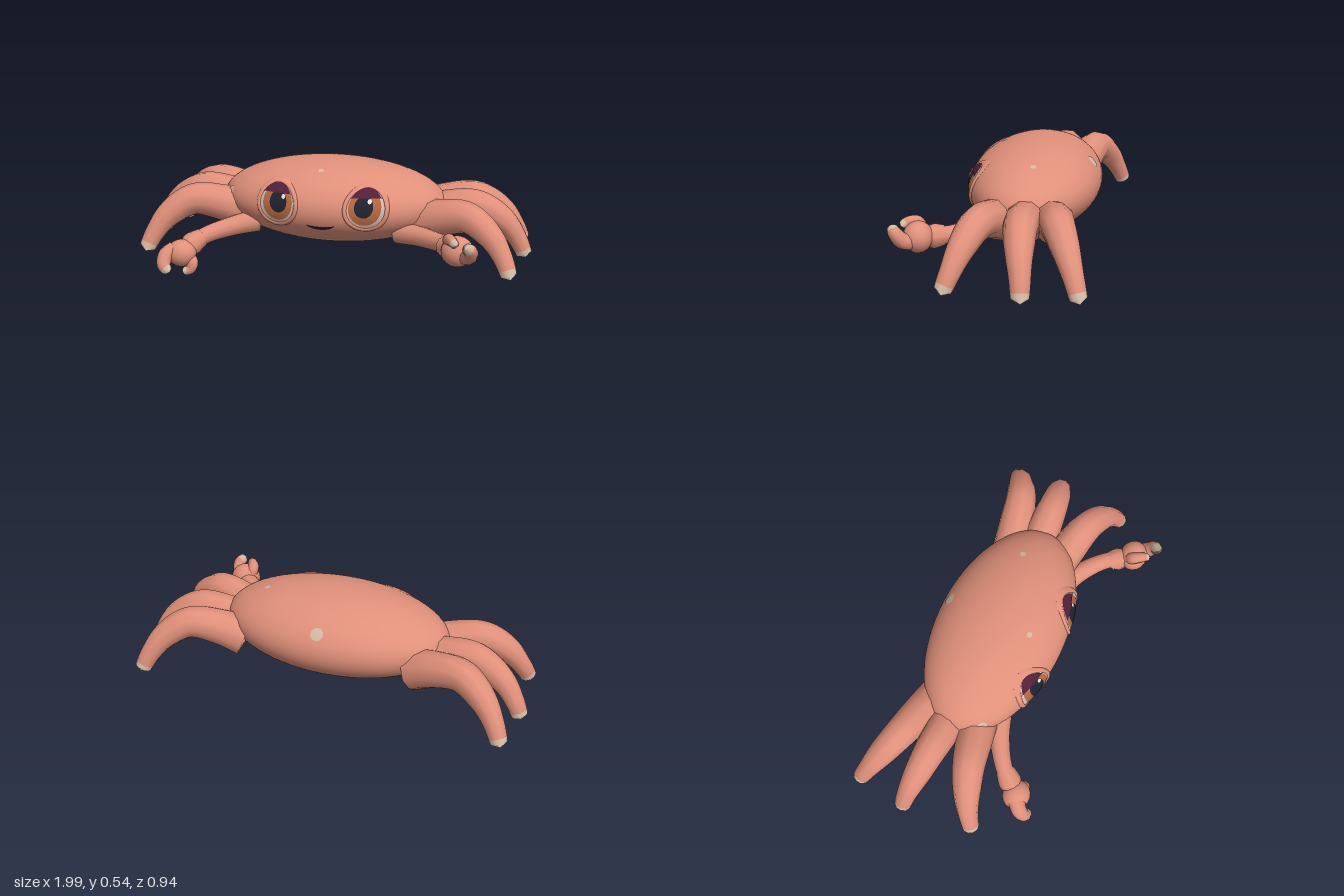
import * as THREE from 'three';

const V = (p) => new THREE.Vector3(...p);
const CENTER = V([0, 0.32, -0.088]);
const RADII = V([0.57, 0.21, 0.322]);

const mat = (name, color) => {
  const m = new THREE.MeshStandardMaterial({ color });
  m.name = name;
  return m;
};

function add(parent, name, geometry, material) {
  const mesh = new THREE.Mesh(geometry, material);
  mesh.name = name;
  parent.add(mesh);
  return mesh;
}

// Moves every vertex of a geometry by a rule
function warp(geometry, rule) {
  const pos = geometry.attributes.position;
  const v = new THREE.Vector3();
  for (let i = 0; i < pos.count; i++) {
    rule(v.fromBufferAttribute(pos, i), i);
    pos.setXYZ(i, v.x, v.y, v.z);
  }
  return geometry;
}

// Front surface of the shell, swollen by k
function frontZ(x, y, k) {
  const a = x / (RADII.x * k), b = (y - CENTER.y) / (RADII.y * k);
  return CENTER.z + RADII.z * k * Math.sqrt(Math.max(0, 1 - a * a - b * b));
}

// Lays a flat piece onto the front of the shell
function onFront(geometry, x, y, k) {
  warp(geometry, (v) => {
    v.x += x;
    v.y += y;
    v.z += frontZ(v.x, v.y, k);
  });
  geometry.computeVertexNormals();
  return geometry;
}

const disc = (rx, ry) => new THREE.RingGeometry(0, 1, 40, 8).scale(rx, ry, 1);

// Tapered limb with closed root and rounded tip; the last share may take a second material
function limb(points, radii, sides, rings, tipStart) {
  const curve = new THREE.CatmullRomCurve3(points.map(V));
  const geometry = new THREE.TubeGeometry(curve, rings, 1, sides);
  const center = new THREE.Vector3();
  const roundFrom = 1 - 0.8 * radii[radii.length - 1] / curve.getLength();
  warp(geometry, (v, i) => {
    const ring = Math.floor(i / (sides + 1));
    const u = ring / rings;
    const f = u * (radii.length - 1);
    const a = Math.min(Math.floor(f), radii.length - 2);
    let r = THREE.MathUtils.lerp(radii[a], radii[a + 1], f - a);
    if (ring === 0) r = 0;
    if (u > roundFrom) r *= Math.sqrt(Math.max(0, 1 - ((u - roundFrom) / (1 - roundFrom)) ** 2));
    curve.getPointAt(u, center);
    v.sub(center).multiplyScalar(r).add(center);
  });
  const split = Math.round(rings * tipStart) * sides * 6;
  geometry.addGroup(0, split, 0);
  geometry.addGroup(split, geometry.index.count - split, 1);
  return geometry;
}

export function createModel() {
  const model = new THREE.Group();
  model.name = 'crab';

  const coral = mat('coral', 0xe0907a);
  const cream = mat('cream', 0xd2baa4);
  const white = mat('eyeWhite', 0xd2bdb3);
  const brown = mat('irisBrown', 0xb5683f);
  const dark = mat('darkNavy', 0x20222e);
  const plum = mat('lidPlum', 0x541f3a);
  const shine = mat('shine', 0xf4eeee);
  const skin = [coral, cream];

  // Shell and belly share one ellipsoid
  const BELLY = 2.4;
  const place = (g) => g.scale(RADII.x, RADII.y, RADII.z).translate(CENTER.x, CENTER.y, CENTER.z);
  add(model, 'shell', place(new THREE.SphereGeometry(1, 72, 36, 0, Math.PI * 2, 0, BELLY)), coral);
  add(model, 'belly', place(new THREE.SphereGeometry(1, 72, 12, 0, Math.PI * 2, BELLY, Math.PI - BELLY)), cream);

  // Pale spots on the shell: direction on the ellipsoid, size
  const spots = [
    [[0, 0.5, -0.87], 0.032],
    [[0.61, 0.78, -0.13], 0.014],
    [[-0.05, 0.85, 0.52], 0.014],
    [[-0.88, 0.2, 0.43], 0.024],
  ];
  for (const [dir, size] of spots) {
    const n = V(dir).normalize();
    const holder = new THREE.Object3D();
    holder.position.copy(n).multiply(RADII);
    holder.lookAt(holder.position.clone().add(n.clone().divide(RADII)));
    holder.updateMatrix();
    const g = new THREE.RingGeometry(0, size, 16, 3).applyMatrix4(holder.matrix);
    warp(g, (v) => v.divide(RADII).normalize().multiplyScalar(1.008).multiply(RADII).add(CENTER));
    g.computeVertexNormals();
    add(model, 'spot', g, cream);
  }

  // Eyes
  for (const s of [-1, 1]) {
    const eye = new THREE.Group();
    eye.name = s > 0 ? 'leftEye' : 'rightEye';
    model.add(eye);
    const x = s * 0.222, y = 0.35;
    const rim = new THREE.TorusGeometry(0.1, 0.011, 10, 48).scale(1, 1.04, 1);
    add(eye, 'eyeRim', onFront(rim, x, y, 1), coral);
    add(eye, 'eyeWhite', onFront(disc(0.096, 0.1), x, y, 1.01), white);
    add(eye, 'iris', onFront(disc(0.078, 0.085), x - s * 0.004, y + 0.008, 1.016), brown);
    add(eye, 'pupil', onFront(disc(0.045, 0.052), x - s * 0.008, y + 0.014, 1.022), dark);
    const lid = warp(disc(0.084, 0.1), (v) => { v.y = Math.max(v.y, 0.055); });
    add(eye, 'eyelid', onFront(lid, x, y, 1.03), plum);
    add(eye, 'eyeShine', onFront(disc(0.01, 0.011), x - s * 0.008 + 0.027, y + 0.042, 1.034), shine);
  }

  // Smile
  const smile = new THREE.RingGeometry(0, 1, 24, 4, Math.PI, Math.PI).scale(0.07, 0.018, 1);
  warp(smile, (v) => { v.y += 1.6 * v.x * v.x; });
  add(model, 'mouth', onFront(smile, 0, 0.255, 1.01), dark);

  // Three walking legs on each side
  const legs = {
    frontLeg: [[0.42, 0.24, -0.01], [0.55, 0.285, 0.03], [0.7, 0.305, 0.07], [0.82, 0.23, 0.115], [0.885, 0.14, 0.15], [0.928, 0.045, 0.185]],
    middleLeg: [[0.42, 0.24, -0.12], [0.56, 0.29, -0.125], [0.72, 0.31, -0.135], [0.86, 0.23, -0.155], [0.925, 0.14, -0.17], [0.967, 0.045, -0.178]],
    backLeg: [[0.42, 0.24, -0.23], [0.55, 0.29, -0.265], [0.7, 0.31, -0.305], [0.82, 0.235, -0.36], [0.885, 0.145, -0.4], [0.93, 0.048, -0.435]],
  };
  for (const s of [-1, 1]) {
    for (const [name, points] of Object.entries(legs)) {
      const path = points.map(([x, y, z]) => [s * x, y, z]);
      add(model, (s > 0 ? 'left ' : 'right ') + name,
        limb(path, [0.105, 0.092, 0.082, 0.07, 0.052, 0.04], 10, 28, 0.925), skin);
    }
  }

  // Arms: one claw raised, one hanging
  const arms = [
    {
      name: 'leftArm',
      arm: [[0.34, 0.21, 0.06], [0.48, 0.212, 0.125], [0.6, 0.215, 0.22], [0.67, 0.222, 0.33]],
      cuff: [[0.605, 0.215, 0.235], [0.635, 0.218, 0.27], [0.67, 0.222, 0.32]],
      palm: [0.69, 0.226, 0.345],
      size: [0.078, 0.074, 0.07],
      finger: [[0.71, 0.215, 0.35], [0.752, 0.225, 0.4], [0.762, 0.262, 0.432], [0.735, 0.285, 0.458]],
      thumb: [[0.66, 0.245, 0.335], [0.65, 0.283, 0.355], [0.67, 0.29, 0.395], [0.695, 0.275, 0.425]],
    },
    {
      name: 'rightArm',
      arm: [[-0.34, 0.225, 0.07], [-0.48, 0.195, 0.13], [-0.6, 0.16, 0.21], [-0.67, 0.115, 0.295]],
      cuff: [[-0.6, 0.16, 0.21], [-0.635, 0.14, 0.25], [-0.67, 0.11, 0.295]],
      palm: [-0.683, 0.098, 0.315],
      size: [0.075, 0.068, 0.07],
      finger: [[-0.71, 0.12, 0.325], [-0.748, 0.095, 0.36], [-0.75, 0.05, 0.39], [-0.718, 0.02, 0.395]],
      thumb: [[-0.65, 0.08, 0.31], [-0.622, 0.055, 0.33], [-0.635, 0.022, 0.335], [-0.672, 0.012, 0.345]],
    },
  ];
  for (const a of arms) {
    const group = new THREE.Group();
    group.name = a.name;
    model.add(group);
    add(group, 'forearm', limb(a.arm, [0.06, 0.05, 0.043, 0.04], 12, 20, 1), skin);
    add(group, 'cuff', limb(a.cuff, [0.045, 0.058, 0.06], 9, 8, 1), skin);
    add(group, 'palm', new THREE.SphereGeometry(1, 18, 12).scale(...a.size).translate(...a.palm), coral);
    add(group, 'finger', limb(a.finger, [0.045, 0.04, 0.034, 0.024], 10, 20, 0.8), skin);
    add(group, 'thumb', limb(a.thumb, [0.035, 0.03, 0.025, 0.019], 10, 20, 0.8), skin);
  }

  return model;
}
